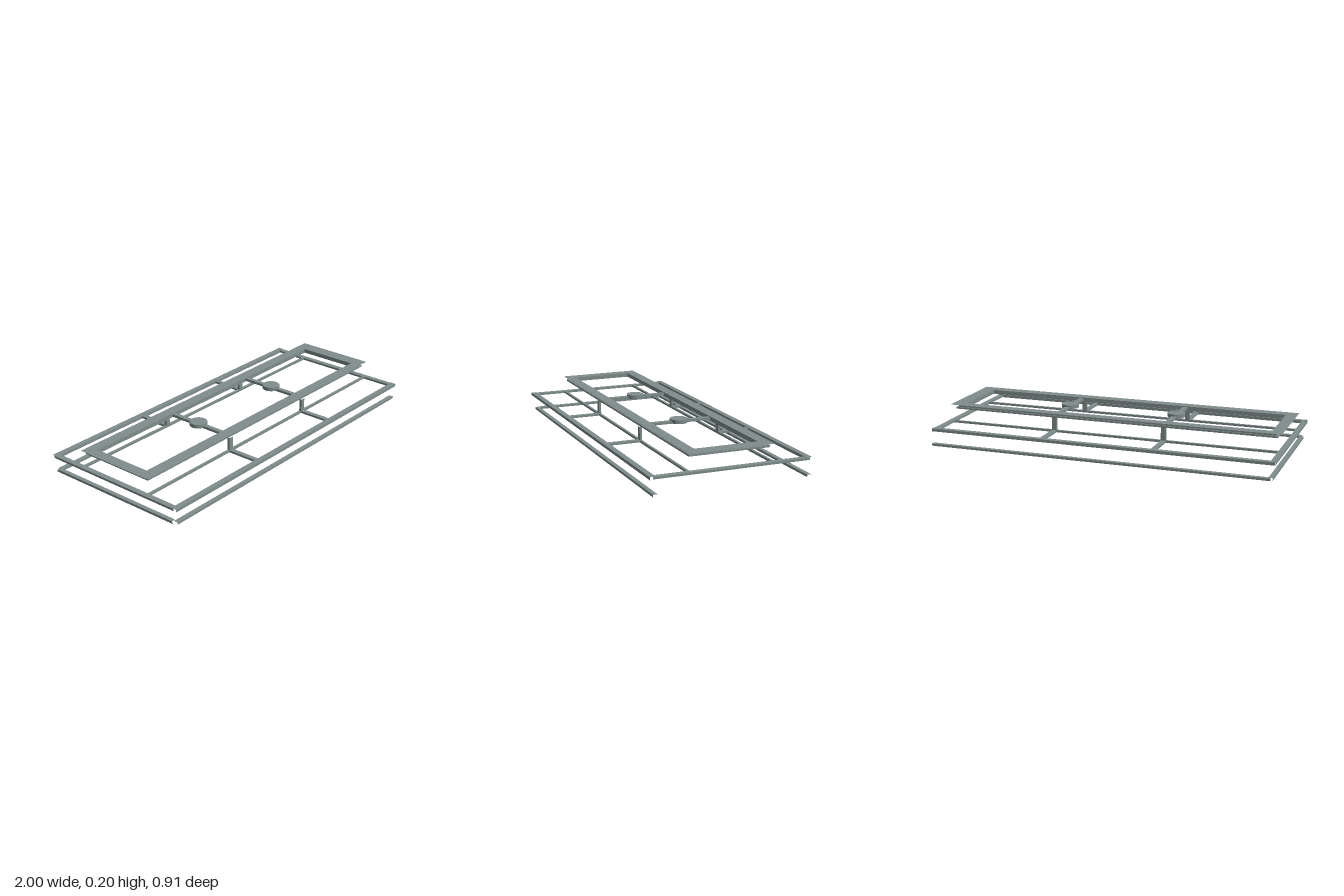
import * as THREE from 'three';

// Square hollow bar, open at both ends of the given axis
function openBar(axis, x0, x1, y0, y1, z0, z1) {
  const g = new THREE.BoxGeometry(x1 - x0, y1 - y0, z1 - z0);
  const skip = { x: 0, y: 1, z: 2 }[axis];
  const all = Array.from(g.index.array);
  g.setIndex(all.filter((_, i) => Math.floor(i / 12) !== skip));
  g.clearGroups();
  g.translate((x0 + x1) / 2, (y0 + y1) / 2, (z0 + z1) / 2);
  return g;
}

// Rectangular outline with a rectangular opening
function ringShape(x, z, holeX0, holeX1, holeZ) {
  const points = list => list.map(p => new THREE.Vector2(...p));
  const shape = new THREE.Shape(points([[-x, -z], [x, -z], [x, z], [-x, z]]));
  shape.holes.push(new THREE.Path(points(
    [[holeX0, -holeZ], [holeX0, holeZ], [holeX1, holeZ], [holeX1, -holeZ]])));
  return shape;
}

export function createModel() {
  const model = new THREE.Group();
  const metal = new THREE.MeshStandardMaterial({ color: 0x7f8e8c });
  metal.name = 'greyGreenMetal';
  const sheet = new THREE.MeshStandardMaterial({ color: 0x7f8e8c, side: THREE.DoubleSide });
  sheet.name = 'greyGreenSheet';

  const add = (name, geometry, material = metal) => {
    const mesh = new THREE.Mesh(geometry, material);
    mesh.name = name;
    model.add(mesh);
    return mesh;
  };
  const bar = (name, axis, ...box) => add(name, openBar(axis, ...box));

  // Lowest tier: thin strips on three sides, open on the +x side
  bar('lowerFrontStrip', 'x', -0.975, 1, 0, 0.013, 0.415, 0.44);
  bar('lowerBackStrip', 'x', -0.975, 1, 0, 0.013, -0.45, -0.425);
  const side = openBar('z', -0.985, -0.96, 0, 0.013, -0.447, 0.42);
  const pos = side.attributes.position;
  for (let i = 0; i < pos.count; i++) { // mitred ends
    if (pos.getY(i) > 0.006) pos.setZ(i, pos.getZ(i) - Math.sign(pos.getZ(i)) * 0.01);
  }
  add('lowerSideStrip', side);

  // Middle tier: large rectangular frame with inner rails
  for (const s of [-1, 1]) {
    const z = s * 0.439;
    bar('middleLongBar', 'x', -1, 0.995, 0.088, 0.104, z - 0.016, z + 0.016);
    const x = s * 0.981 - 0.0025;
    bar('middleSideBar', 'z', x - 0.016, x + 0.016, 0.09, 0.102, -0.44, 0.437);
    const r = s * 0.236;
    bar('innerRail', 'x', -0.97, 0.965, 0.09, 0.102, r - 0.007, r + 0.007);
  }

  // Upper tier: wide flat top over two inset steps
  const plate = new THREE.ShapeGeometry(ringShape(0.985, 0.24, -0.92, 0.91, 0.18));
  plate.rotateX(-Math.PI / 2).translate(0, 0.196, 0);
  add('upperRingTop', plate, sheet);
  for (const [y0, y1, x, z] of [[0.171, 0.181, 0.957, 0.228], [0.181, 0.195, 0.945, 0.22]]) {
    const step = new THREE.ExtrudeGeometry(ringShape(x, z, -0.92, 0.91, 0.18),
      { depth: y1 - y0, bevelEnabled: false });
    step.rotateX(-Math.PI / 2).translate(-0.004, y0, 0);
    add('upperRingStep', step);
  }

  // Two stepped cross supports with a round mount in the middle
  for (const x of [-0.325, 0.325]) {
    const x0 = x - 0.014, x1 = x + 0.014;
    bar('upperCrossArm', 'z', x0, x1, 0.176, 0.19, -0.22, 0.22);
    for (const s of [-1, 1]) {
      const p = s * 0.236, q = s * 0.335;
      bar('supportPost', 'y', x0, x1, 0.1, 0.176, p - 0.007, p + 0.007);
      bar('lowerCrossArm', 'z', x0, x1, 0.09, 0.102, q - 0.1, q + 0.1);
    }
    add('roundMount', new THREE.CylinderGeometry(0.05, 0.05, 0.022, 32)).position.set(x, 0.189, 0.005);
  }
  return model;
}
